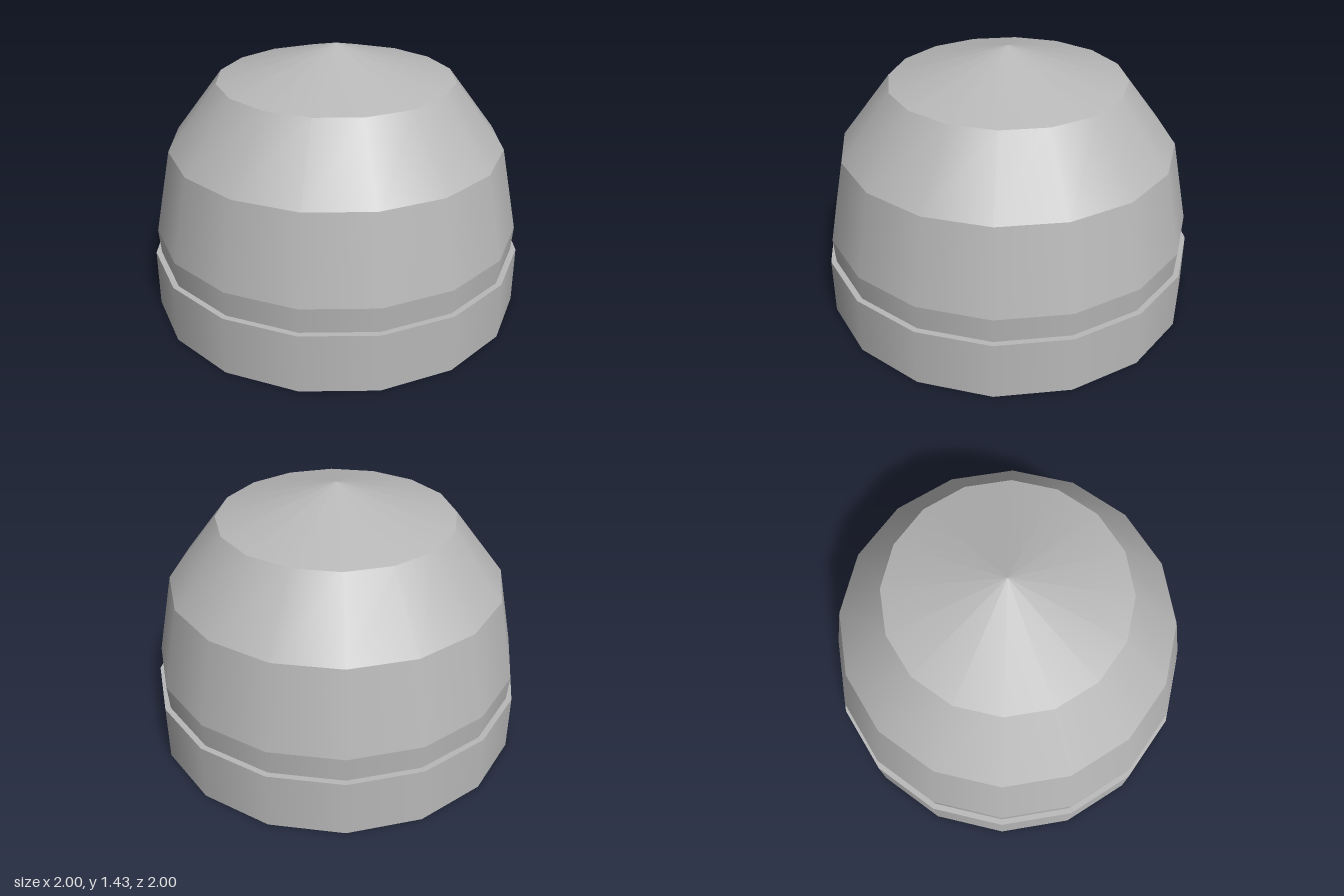
import * as THREE from 'three';

const SIDES = 16;

export function createModel() {
  const model = new THREE.Group();
  model.name = 'domedCap';
  const grey = new THREE.MeshStandardMaterial({ color: 0xb8b8b8 });
  grey.name = 'grey';

  // One band: smooth around its sides, sharp against its neighbours
  function band(name, rBottom, yBottom, rTop, yTop, open = true) {
    const geometry = new THREE.CylinderGeometry(rTop, rBottom, yTop - yBottom, SIDES, 1, open);
    const mesh = new THREE.Mesh(geometry, grey);
    mesh.position.y = (yBottom + yTop) / 2;
    mesh.name = name;
    model.add(mesh);
  }

  // Closed base ring
  band('base', 1, 0, 1, 0.315, false);

  // Dome bands, narrowing upwards
  band('collar', 0.97, 0.315, 0.98, 0.45);
  band('lowerDome', 0.98, 0.45, 0.89, 0.9);
  band('upperDome', 0.89, 0.9, 0.625, 1.25);

  // Shallow cone on top
  band('roof', 0.625, 1.25, 0, 1.43);

  return model;
}
